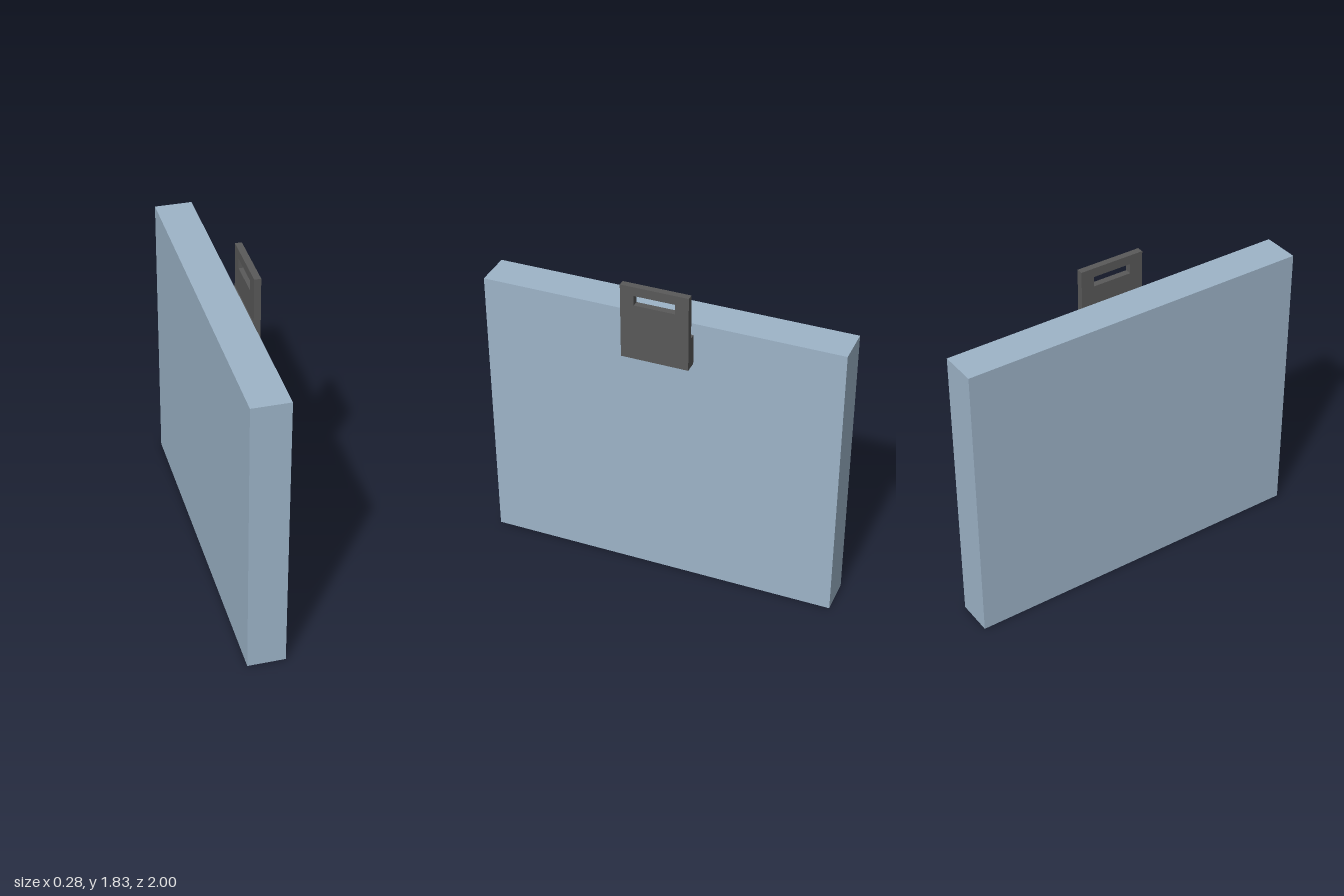
import * as THREE from 'three';

const panelMat = new THREE.MeshStandardMaterial({ color: 0x9db4c8 });
const tagMat = new THREE.MeshStandardMaterial({ color: 0x595959 });

// Rectangle centred on the first axis, from y0 to y1
function rect(path, halfWidth, y0, y1) {
  path.moveTo(-halfWidth, y0);
  path.lineTo(halfWidth, y0);
  path.lineTo(halfWidth, y1);
  path.lineTo(-halfWidth, y1);
  path.closePath();
  return path;
}

// Box given by its x and y ranges and its depth, centred on z
function box(name, x0, x1, y0, y1, depth, material) {
  const mesh = new THREE.Mesh(new THREE.BoxGeometry(x1 - x0, y1 - y0, depth), material);
  mesh.position.set((x0 + x1) / 2, (y0 + y1) / 2, 0);
  mesh.name = name;
  return mesh;
}

export function createModel() {
  const model = new THREE.Group();
  model.name = 'panelWithHanger';

  // Large upright panel
  model.add(box('panel', -0.14, 0.069, 0, 1.645, 2, panelMat));

  // Hanger: slotted plate held off the panel by a spacer block
  const hanger = new THREE.Group();
  hanger.name = 'hanger';
  const outline = rect(new THREE.Shape(), 0.187, 1.402, 1.831);
  outline.holes.push(rect(new THREE.Path(), 0.112, 1.724, 1.78));
  const plateGeo = new THREE.ExtrudeGeometry(outline, { depth: 0.037, bevelEnabled: false });
  plateGeo.rotateY(Math.PI / 2);
  const plate = new THREE.Mesh(plateGeo, tagMat);
  plate.position.x = 0.103;
  plate.name = 'slottedPlate';
  hanger.add(plate, box('spacerBlock', 0.069, 0.103, 1.402, 1.577, 0.374, tagMat));
  model.add(hanger);

  return model;
}
